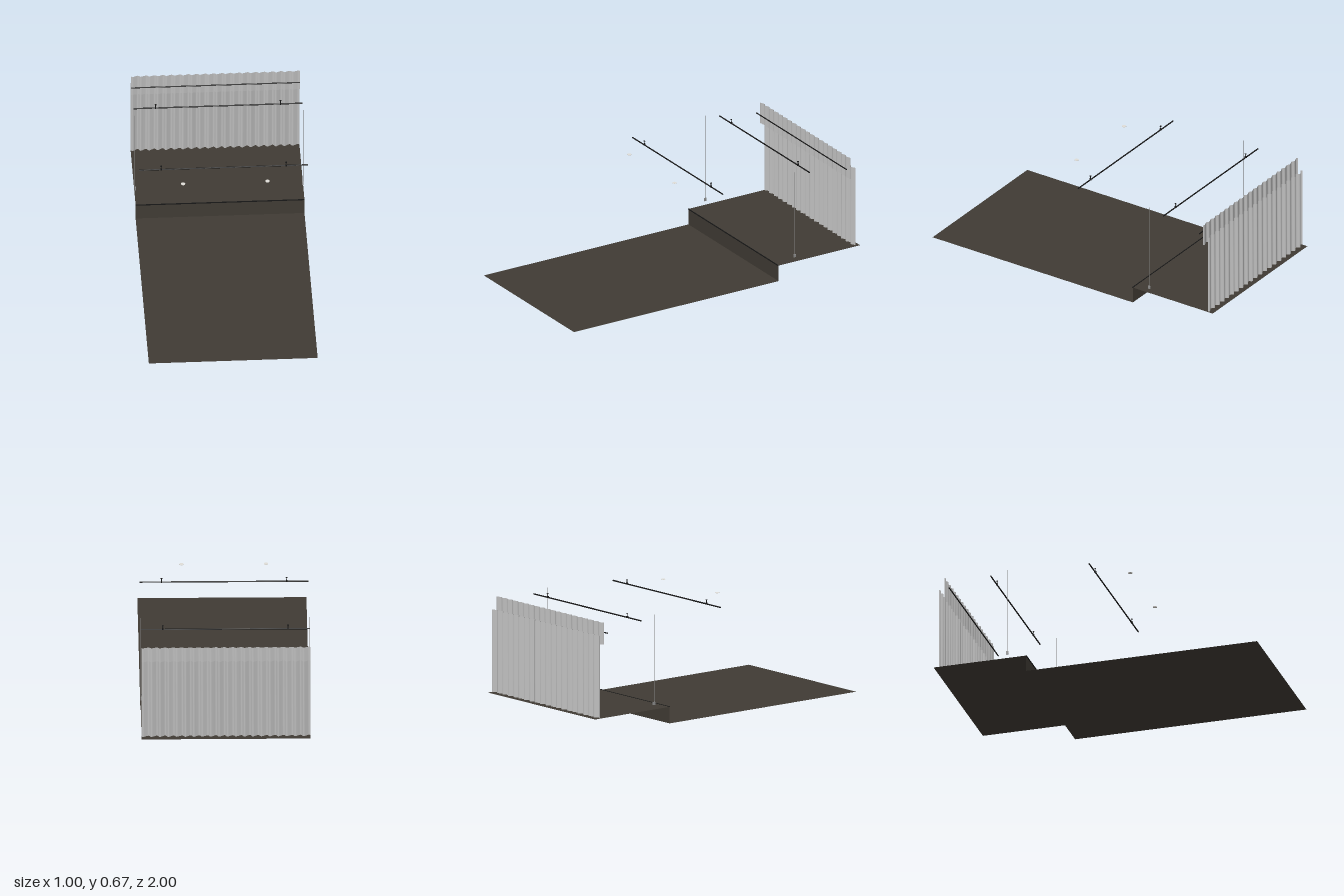
import * as THREE from 'three';

const mat = (name, color, side = THREE.FrontSide) => {
  const m = new THREE.MeshStandardMaterial({ color, side });
  m.name = name;
  return m;
};

export function createModel() {
  const root = new THREE.Group();
  root.name = 'stage';
  const floorMat = mat('dark floor', 0x403b34, THREE.DoubleSide);
  const clothMat = mat('grey cloth', 0xbebebe, THREE.DoubleSide);
  const blackMat = mat('black metal', 0x161616);
  const greyMat = mat('grey metal', 0x8c8c8c);
  const lightMat = mat('lamp white', 0xe0ded8, THREE.DoubleSide);

  const add = (name, geo, material, x, y, z, parent = root) => {
    const mesh = new THREE.Mesh(geo, material);
    mesh.name = name;
    mesh.position.set(x, y, z);
    parent.add(mesh);
    return mesh;
  };

  // Hall floor, riser and raised stage: open sheets
  const sheet = (depth) => new THREE.PlaneGeometry(1, depth).rotateX(-Math.PI / 2);
  const edge = -0.43, deck = 0.1;
  add('hallFloor', sheet(1 - edge), floorMat, 0, 0, (1 + edge) / 2);
  add('stageFloor', sheet(1 + edge), floorMat, 0, deck, (edge - 1) / 2);
  add('stageRiser', new THREE.PlaneGeometry(1, deck), floorMat, 0, deck / 2, edge);
  add('stageNosing', new THREE.BoxGeometry(1, 0.004, 0.006), blackMat, 0, deck, edge + 0.002);

  // Pleated cloth: a sheet folded into rounded waves, with a gently wavy hem
  const pleated = (height, depth, pleats, hem) => {
    const geo = new THREE.PlaneGeometry(1, height, pleats * 12, 1);
    const p = geo.attributes.position;
    for (let i = 0; i < p.count; i++) {
      const x = p.getX(i);
      const a = (x + 0.5) * pleats * Math.PI * 2;
      const fold = Math.sin(a + 0.45 * Math.sin(a)) * (0.9 + 0.1 * Math.sin(x * 37));
      p.setZ(i, depth * fold);
      if (p.getY(i) < 0) p.setY(i, p.getY(i) + hem * Math.sin(a));
    }
    geo.computeVertexNormals();
    return geo;
  };
  add('backCurtain', pleated(0.497, 0.01, 20, 0), clothMat, 0, 0.3515, -0.966);
  add('valance', pleated(0.134, 0.006, 20, 0.002), clothMat, 0, 0.607, -0.931);

  // Horizontal pipes
  const pipe = (r) => new THREE.CylinderGeometry(r, r, 1, 10).rotateZ(Math.PI / 2);
  add('valanceBatten', pipe(0.0036), blackMat, 0, 0.609, -0.905);
  for (const z of [-0.04, -0.647]) {
    const rig = new THREE.Group();
    rig.name = 'lightingPipe';
    rig.position.z = z;
    root.add(rig);
    add('pipe', pipe(0.004), blackMat, 0, 0.649, 0, rig);
    // Hangers with a ceiling plate and a clamp
    for (const x of [-0.37, 0.37]) {
      add('hangerStem', new THREE.CylinderGeometry(0.002, 0.002, 0.024, 8), blackMat, x, 0.662, 0, rig);
      add('hangerPlate', new THREE.CylinderGeometry(0.006, 0.006, 0.002, 10), blackMat, x, 0.673, 0, rig);
      add('hangerClamp', new THREE.BoxGeometry(0.007, 0.011, 0.011), blackMat, x, 0.652, 0, rig);
    }
  }

  for (const s of [-1, 1]) {
    // Ceiling discs over the hall
    add('ceilingDisc', new THREE.CylinderGeometry(0.013, 0.013, 0.002, 20), lightMat, s * 0.25, 0.673, 0.14);
    // Hanging side cables with a control box at the end
    add('sideCable', new THREE.CylinderGeometry(0.0015, 0.0015, 0.53, 6), greyMat, s * 0.498, 0.409, -0.545);
    add('controlBox', new THREE.BoxGeometry(0.008, 0.018, 0.014), greyMat, s * 0.496, 0.136, -0.545);
  }
  return root;
}
